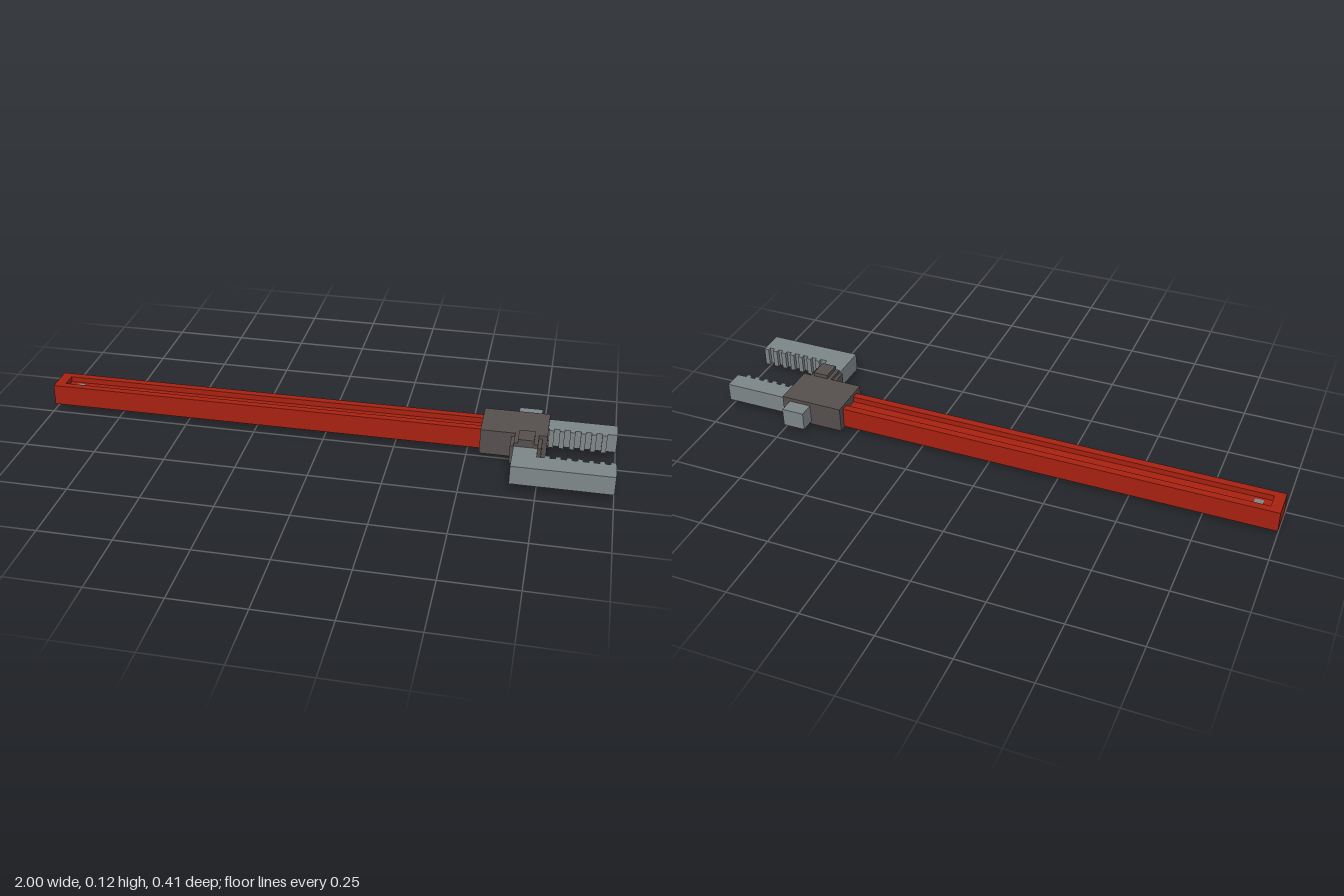
import * as THREE from 'three';

const mat = (name, color) => {
  const m = new THREE.MeshStandardMaterial({ color });
  m.name = name;
  return m;
};

export function createModel() {
  const red = mat('red paint', 0xaa2211);
  const steel = mat('grey steel', 0x7f888a);
  const dark = mat('dark iron', 0x57514f);
  const wrench = new THREE.Group();
  wrench.name = 'pipeWrench';

  // Box given by its limits on each axis
  const box = (name, m, [x0, x1], [y0, y1], [z0, z1], parent = wrench) => {
    const mesh = new THREE.Mesh(new THREE.BoxGeometry(x1 - x0, y1 - y0, z1 - z0), m);
    mesh.position.set((x0 + x1) / 2, (y0 + y1) / 2, (z0 + z1) / 2);
    mesh.name = name;
    parent.add(mesh);
  };

  // Plan outline (x, z) raised to the jaw thickness
  const plate = (name, points) => {
    const shape = new THREE.Shape(points.map(([x, z]) => new THREE.Vector2(x, z)));
    const geo = new THREE.ExtrudeGeometry(shape, { depth: 0.066, bevelEnabled: false });
    geo.rotateX(Math.PI / 2).translate(0, 0.094, 0);
    const mesh = new THREE.Mesh(geo, steel);
    mesh.name = name;
    wrench.add(mesh);
  };

  // Square teeth from x = start towards the jaw tip
  const teeth = (start, count, base, tip) => {
    const pts = [];
    for (let i = 0; i < count; i++) {
      const x = start + i * 0.0355;
      pts.push([x, base], [x, tip], [x + 0.017, tip], [x + 0.017, base]);
    }
    return pts;
  };

  // Handle with a long slot above and below a central web
  const handle = new THREE.Group();
  handle.name = 'handle';
  wrench.add(handle);
  const hy = [0.02, 0.094];
  box('handleEnd', red, [-1, -0.963], hy, [-0.127, -0.021], handle);
  box('handleRailBack', red, [-0.963, 0.55], hy, [-0.127, -0.101], handle);
  box('handleRailFront', red, [-0.963, 0.55], hy, [-0.047, -0.021], handle);
  box('handleWeb', red, [-0.963, 0.55], [0.04, 0.074], [-0.101, -0.047], handle);
  box('hangingPin', steel, [-0.935, -0.905], [0.038, 0.076], [-0.089, -0.059], handle);

  // Housing that holds the jaws
  box('housing', dark, [0.545, 0.77], [0.016, 0.107], [-0.152, 0.007]);

  // Stepped adjusting nut around the sliding shank
  const nut = new THREE.Group();
  nut.name = 'adjustingNut';
  wrench.add(nut);
  for (const [hx, hh] of [[0.027, 0.06], [0.04, 0.0455], [0.052, 0.033]]) {
    box('nutStep', dark, [0.702 - hx, 0.702 + hx], [0.061 - hh, 0.061 + hh], [0.006, 0.073], nut);
  }

  // Fixed jaw, teeth facing the front
  plate('fixedJaw', [
    [0.75, -0.14], [1, -0.14], [1, -0.073],
    ...teeth(0.772, 6, -0.073, -0.06).reverse(), [0.75, -0.073],
  ]);

  // Hook jaw with its shank through the nut and housing
  plate('hookJaw', [
    [0.662, -0.206], [0.742, -0.206], [0.742, 0.128],
    ...teeth(0.768, 7, 0.128, 0.114), [1, 0.128], [1, 0.207], [0.662, 0.207],
  ]);

  return wrench;
}
